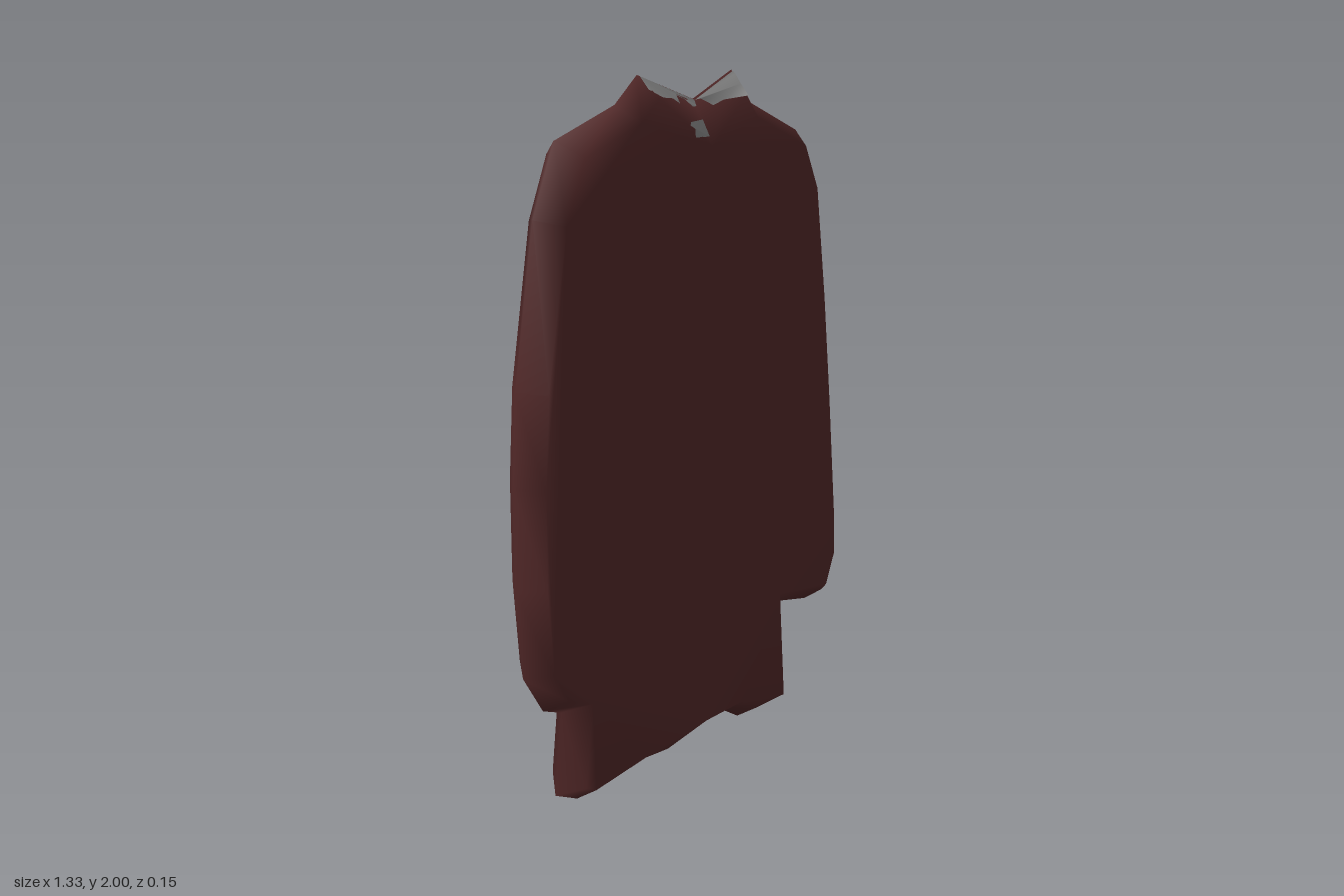
import * as THREE from 'three';

const cloth = new THREE.MeshStandardMaterial({ color: 0x502727 });
cloth.name = 'dark maroon cloth';
const lining = new THREE.MeshStandardMaterial({ color: 0x808080, side: THREE.DoubleSide });
lining.name = 'grey lining';

const HALF = 0.07;   // half thickness
const INSET = 0.05;  // width of the sloped rim

// Widest outline of the coat at z = 0, counter-clockwise from the left collar peak
const OUTLINE = [
  [-0.2, 2], [-0.28, 1.93], [-0.49, 1.855], [-0.565, 1.67], [-0.64, 1.25], [-0.66, 1],
  [-0.665, 0.72], [-0.65, 0.465], [-0.585, 0.345], [-0.52, 0.315], [-0.55, 0.07],
  [-0.47, 0.025], [-0.26, 0.045], [-0.17, 0.035], [0, 0.06], [0.15, 0.06], [0.22, 0.012],
  [0.42, 0.005], [0.39, 0.35], [0.55, 0.31], [0.61, 0.335], [0.66, 0.465], [0.65, 0.63],
  [0.61, 1], [0.57, 1.33], [0.52, 1.67], [0.45, 1.82], [0.23, 1.915], [0.165, 2], [0.01, 1.93],
].map(([x, y]) => new THREE.Vector2(x, y));

// Moves every corner inward along its mitre
function insetOutline(points, distance) {
  const n = points.length;
  return points.map((p, i) => {
    const a = p.clone().sub(points[(i + n - 1) % n]).normalize();
    const b = points[(i + 1) % n].clone().sub(p).normalize();
    const na = new THREE.Vector2(-a.y, a.x), nb = new THREE.Vector2(-b.y, b.x);
    const mitre = na.clone().add(nb).normalize();
    return p.clone().addScaledVector(mitre, distance / Math.max(0.6, mitre.dot(na)));
  });
}

// Flat front and back joined to the middle outline by sloped rims, with shared smooth normals
function coatGeometry() {
  const n = OUTLINE.length;
  const back = insetOutline(OUTLINE, INSET);
  const front = back.map((p) => p.clone());
  front[n - 1].y = 1.81; // lower neckline at the front
  const positions = [], index = [];
  [[front, HALF], [OUTLINE, 0], [back, -HALF]].forEach(([ring, z]) =>
    ring.forEach((p) => positions.push(p.x, p.y, z)));
  for (let r = 0; r < 2; r++) {
    for (let i = 0; i < n; i++) {
      const j = (i + 1) % n, a = r * n + i, b = r * n + j;
      index.push(a, a + n, b, b, a + n, b + n);
    }
  }
  THREE.ShapeUtils.triangulateShape(front, []).forEach(([a, b, c]) => index.push(a, b, c));
  THREE.ShapeUtils.triangulateShape(back, []).forEach(([a, b, c]) =>
    index.push(2 * n + a, 2 * n + c, 2 * n + b));
  const geometry = new THREE.BufferGeometry();
  geometry.setAttribute('position', new THREE.Float32BufferAttribute(positions, 3));
  geometry.setIndex(index);
  geometry.computeVertexNormals();
  return geometry;
}

// Thin patch laid on the front surface of the coat
function patch(name, points, coat) {
  const geometry = new THREE.ShapeGeometry(
    new THREE.Shape(points.map(([x, y]) => new THREE.Vector2(x, y))));
  const pos = geometry.attributes.position;
  const ray = new THREE.Raycaster();
  for (let i = 0; i < pos.count; i++) {
    ray.set(new THREE.Vector3(pos.getX(i), pos.getY(i), 1), new THREE.Vector3(0, 0, -1));
    const hit = ray.intersectObject(coat)[0];
    pos.setZ(i, (hit ? Math.max(0, hit.point.z) : 0) + 0.006);
  }
  geometry.computeVertexNormals();
  const mesh = new THREE.Mesh(geometry, lining);
  mesh.name = name;
  return mesh;
}

export function createModel() {
  const group = new THREE.Group();
  group.name = 'coat';

  const coat = new THREE.Mesh(coatGeometry(), cloth);
  coat.name = 'coatBody';
  group.add(coat);

  // Grey lining inside the collar, and the small neck tag
  group.add(
    patch('rightCollarLining', [[-0.198, 1.997], [-0.2, 1.965], [-0.17, 1.945], [-0.12, 1.94],
      [-0.09, 1.925], [-0.08, 1.945], [-0.05, 1.935], [-0.02, 1.912], [0.005, 1.912], [0.008, 1.928]], coat),
    patch('leftCollarLining', [[0.012, 1.928], [0.03, 1.93], [0.06, 1.912], [0.1, 1.925],
      [0.15, 1.935], [0.155, 1.965], [0.165, 1.99], [0.163, 1.997]], coat),
    patch('neckTag', [[-0.08, 1.87], [-0.06, 1.86], [-0.06, 1.838], [0.01, 1.835],
      [0.01, 1.878], [-0.07, 1.878]], coat),
  );
  return group;
}
